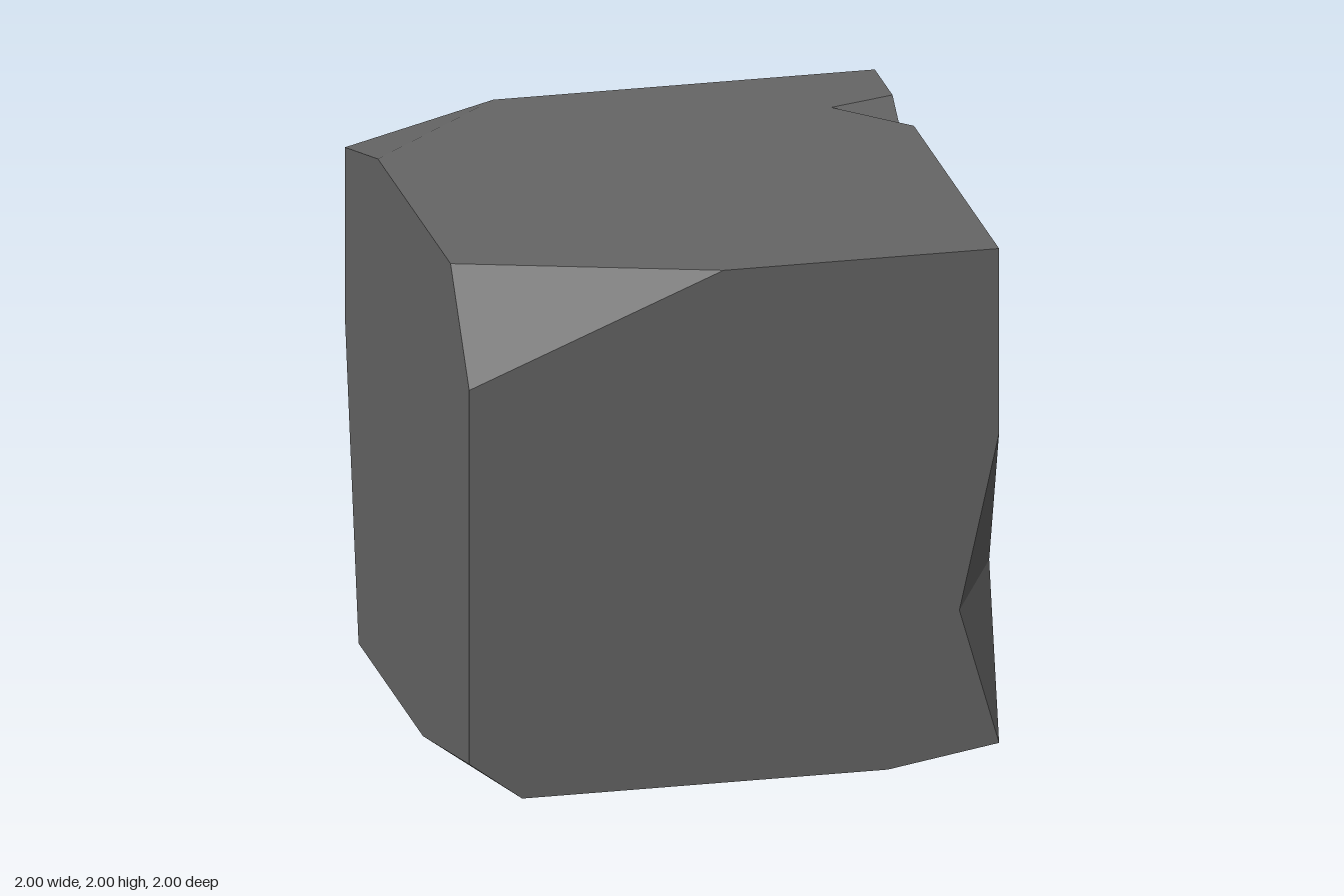
import * as THREE from 'three';

const v = (x, y, z) => new THREE.Vector3(x, y, z);
const CENTER = v(0, 1, 0);

// Flat-faced geometry from planar loops; every triangle is turned to face outwards
function facesGeometry(loops) {
  const pos = [];
  for (const loop of loops) {
    // drop the dominant axis of the loop's normal to triangulate in 2D
    const n = v(0, 0, 0);
    loop.forEach((p, i) => n.add(p.clone().cross(loop[(i + 1) % loop.length])));
    const a = n.toArray().map(Math.abs);
    const drop = a.indexOf(Math.max(...a));
    const flat = loop.map((p) => new THREE.Vector2(...p.toArray().filter((_, i) => i !== drop)));
    for (const tri of THREE.ShapeUtils.triangulateShape(flat, [])) {
      let [p, q, r] = tri.map((i) => loop[i]);
      const normal = q.clone().sub(p).cross(r.clone().sub(p));
      if (normal.dot(p.clone().sub(CENTER)) < 0) [q, r] = [r, q];
      for (const c of [p, q, r]) pos.push(c.x, c.y, c.z);
    }
  }
  const g = new THREE.BufferGeometry();
  g.setAttribute('position', new THREE.Float32BufferAttribute(pos, 3));
  g.computeVertexNormals();
  return g;
}

export function createModel() {
  const group = new THREE.Group();
  group.name = 'chippedStoneBlock';
  const stone = new THREE.MeshStandardMaterial({ color: 0x666666 });
  stone.name = 'stoneGrey';

  // Intact corners
  const frontCorner = v(1, 2, 1);
  const backCorner = v(1, 2, -1);

  // Chipped corners: one point on each of the three edges (along x, y, z)
  const frontTop = { x: v(-0.04, 2, 1), y: v(-1, 1.61, 1), z: v(-1, 2, 0.7) };
  const backTop = { x: v(-0.44, 2, -1), y: v(-1, 1.86, -1), z: v(-1, 2, -0.47) };
  const frontLow = { x: v(-0.8, 0, 1), y: v(-1, 0.15, 1), z: v(-1, 0, 0.255) };
  const frontLowB = { x: v(0.58, 0, 1), y: v(1, 0.07, 1), z: v(1, 0, 0.8) };
  const backLow = { x: v(-0.836, 0, -1), y: v(-1, 1.2, -1), z: v(-1, 0, -0.78) };
  const backLowB = { x: v(-0.04, 0, -1), y: v(1, 0.155, -1), z: v(1, 0, 0.02) };

  // Notched edges: two ends on the edge, one point inside each neighbouring face
  const sideNotch = { start: v(1, 1.28, 1), end: frontLowB.y, a: v(0.85, 0.6, 1), b: v(1, 0.73, 0.84) };
  const topNotch = { start: v(1, 2, -0.37), end: v(1, 2, -0.715), a: v(0.75, 2, -0.635), b: v(1, 1.89, -0.56) };

  const add = (name, loops) => {
    const mesh = new THREE.Mesh(facesGeometry(loops), stone);
    mesh.name = name;
    group.add(mesh);
  };

  // Six main sides
  add('frontFace', [[frontTop.y, frontTop.x, frontCorner, sideNotch.start, sideNotch.a, sideNotch.end,
    frontLowB.x, frontLow.x, frontLow.y]]);
  add('backFace', [[backCorner, backTop.x, backTop.y, backLow.y, backLow.x, backLowB.x, backLowB.y]]);
  add('positiveXFace', [[frontCorner, sideNotch.start, sideNotch.b, sideNotch.end, frontLowB.z, backLowB.z,
    backLowB.y, backCorner, topNotch.end, topNotch.b, topNotch.start]]);
  add('negativeXFace', [[frontTop.y, frontTop.z, backTop.z, backTop.y, backLow.y, backLow.z,
    frontLow.z, frontLow.y]]);
  add('topFace', [[frontTop.x, frontCorner, topNotch.start, topNotch.a, topNotch.end, backCorner,
    backTop.x, backTop.z, frontTop.z]]);
  add('bottomFace', [[frontLow.x, frontLowB.x, frontLowB.z, backLowB.z, backLowB.x, backLow.x,
    backLow.z, frontLow.z]]);

  // Broken corners and edge notches
  add('cornerChips', [frontTop, backTop, frontLow, frontLowB, backLow, backLowB].map((c) => [c.x, c.y, c.z]));
  add('edgeNotches', [sideNotch, topNotch].flatMap((n) => [[n.start, n.a, n.b], [n.end, n.b, n.a]]));

  return group;
}
